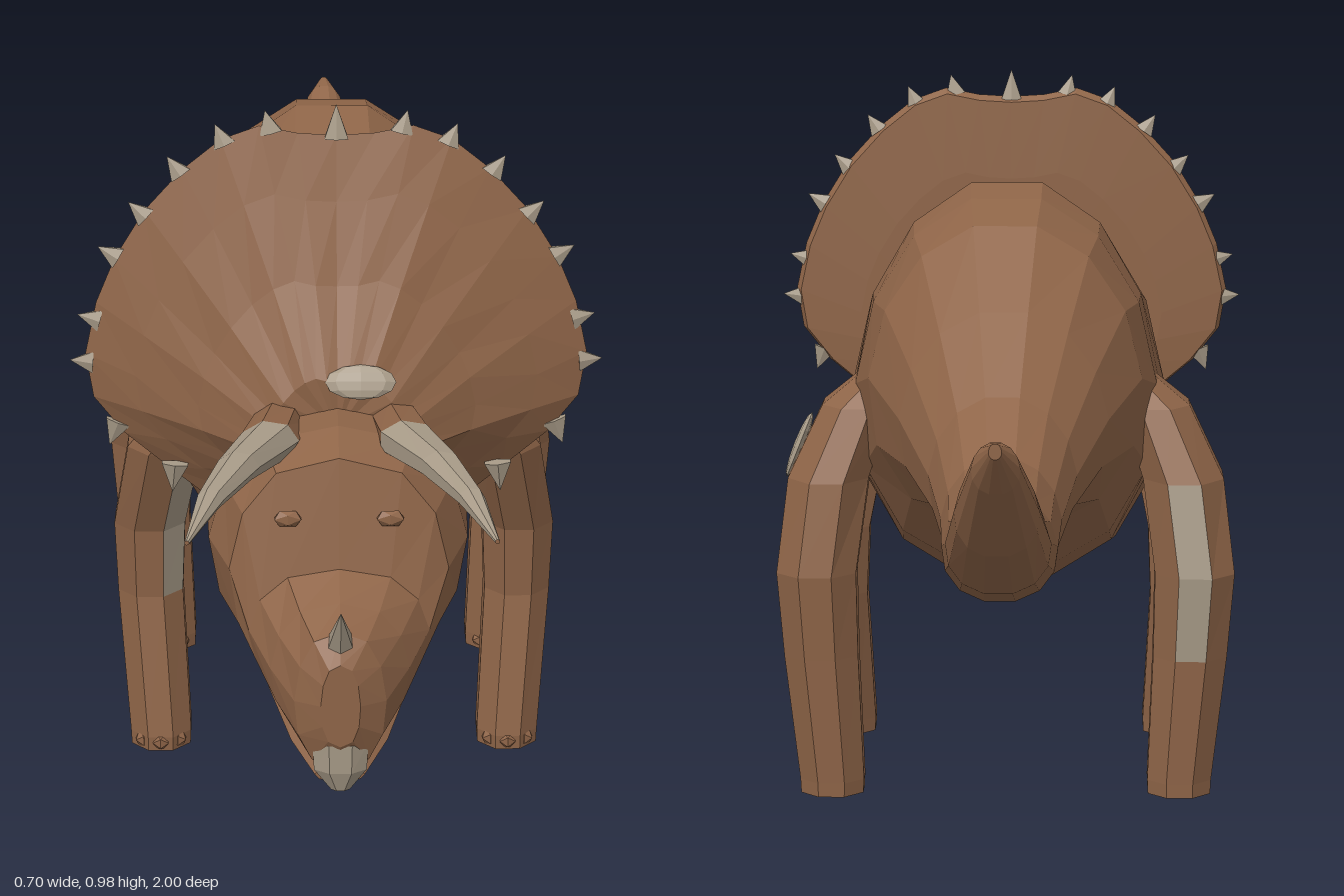
import * as THREE from 'three';

const skin = new THREE.MeshStandardMaterial({ color: 0x8f6548 });
skin.name = 'brown skin';
const bone = new THREE.MeshStandardMaterial({ color: 0xa89b88 });
bone.name = 'pale horn';

// Closed faceted surface through rings; paint(i, j) picks faces for the horn colour
function loft(rings, paint = () => false) {
  const faces = [[], []];
  const mid = r => r.reduce((s, p) => s.add(p), new THREE.Vector3()).divideScalar(r.length);
  const n = rings[0].length, last = rings[rings.length - 1];
  const c0 = mid(rings[0]), c1 = mid(last);
  for (let j = 0; j < n; j++) {
    const k = (j + 1) % n;
    faces[0].push(c0, rings[0][k], rings[0][j], c1, last[j], last[k]);
    for (let i = 0; i + 1 < rings.length; i++) {
      const a = rings[i][j], b = rings[i][k], c = rings[i + 1][k], d = rings[i + 1][j];
      faces[paint(i, j) ? 1 : 0].push(a, b, c, a, c, d);
    }
  }
  const g = new THREE.BufferGeometry().setFromPoints([...faces[0], ...faces[1]]);
  g.addGroup(0, faces[0].length, 0);
  if (faces[1].length) g.addGroup(faces[0].length, faces[1].length, 1);
  g.computeVertexNormals();
  return g;
}

// Upright ring at depth z; pear widens the lower half
function ringZ(z, top, bottom, half, n, pear = 0, power = 1, x = 0) {
  return Array.from({ length: n }, (_, j) => {
    const a = (j / n) * Math.PI * 2, c = Math.cos(a), s = Math.sin(a);
    const w = Math.sign(c) * Math.abs(c) ** power * (1 - pear * s);
    return new THREE.Vector3(x + half * w, (top + bottom) / 2 + s * (top - bottom) / 2, z);
  });
}

// Level eight-sided ring whose face j is centred on the angle 45 * j from +z towards +x
function ringY(y, x, z, rx, rz) {
  return Array.from({ length: 8 }, (_, j) => {
    const a = ((j - 0.5) / 8) * Math.PI * 2;
    return new THREE.Vector3(x + 1.06 * rx * Math.sin(a), y, z + 1.06 * rz * Math.cos(a));
  });
}

function flat(geometry) {
  const g = geometry.toNonIndexed();
  g.computeVertexNormals();
  return g;
}

export function createModel() {
  const model = new THREE.Group();
  model.name = 'hornedDinosaur';
  const add = (name, geometry, material) => {
    const m = new THREE.Mesh(geometry, material);
    m.name = name;
    model.add(m);
    return m;
  };
  const spike = (name, base, dir, radius, length, depth = 1) => {
    const d = new THREE.Vector3(...dir).normalize();
    const m = add(name, flat(new THREE.ConeGeometry(radius, length, 6)), bone);
    m.quaternion.setFromUnitVectors(new THREE.Vector3(0, 1, 0), d);
    m.position.set(...base).addScaledVector(d, length / 2);
    m.scale.z = depth;
  };

  // Torso, neck and tail: z, top, bottom, half width
  const body = [
    [-1, 0.65, 0.63, 0.008], [-0.96, 0.645, 0.58, 0.03], [-0.87, 0.6, 0.485, 0.053],
    [-0.76, 0.548, 0.415, 0.067], [-0.65, 0.53, 0.382, 0.075], [-0.52, 0.55, 0.385, 0.08],
    [-0.42, 0.615, 0.402, 0.1], [-0.31, 0.715, 0.415, 0.143], [-0.19, 0.82, 0.385, 0.19],
    [-0.09, 0.848, 0.31, 0.213], [0, 0.862, 0.275, 0.218], [0.17, 0.827, 0.248, 0.23],
    [0.28, 0.772, 0.25, 0.215], [0.38, 0.71, 0.27, 0.163], [0.46, 0.655, 0.28, 0.12],
    [0.57, 0.55, 0.3, 0.12],
  ];
  add('bodyAndTail', loft(body.map(([z, t, b, w]) => ringZ(z, t, b, w, 14, 0.08, 0.92))), skin);

  // Skull and upper jaw
  const head = [
    [0.475, 0.59, 0.33, 0.14], [0.56, 0.6, 0.31, 0.17], [0.66, 0.6, 0.3, 0.167],
    [0.73, 0.58, 0.285, 0.14], [0.755, 0.44, 0.275, 0.115], [0.81, 0.415, 0.24, 0.088],
    [0.86, 0.395, 0.212, 0.058], [0.883, 0.36, 0.25, 0.025],
  ];
  add('head', loft(head.map(([z, t, b, w]) => ringZ(z, t, b, w, 12, 0.05, 0.75))), skin);

  // Lower jaw
  const jaw = [
    [0.53, 0.4, 0.3, 0.11], [0.62, 0.38, 0.265, 0.115], [0.71, 0.3, 0.222, 0.09],
    [0.77, 0.235, 0.192, 0.062], [0.815, 0.195, 0.174, 0.032],
  ];
  add('lowerJaw', loft(jaw.map(([z, t, b, w]) => ringZ(z, t, b, w, 10, 0, 0.85))), skin);

  // Beak tip and nose horn
  add('beakTip', loft([ringY(0.185, 0, 0.86, 0.012, 0.01), ringY(0.212, 0, 0.853, 0.034, 0.026),
    ringY(0.25, 0, 0.855, 0.036, 0.026)]), bone);
  spike('noseHorn', [0, 0.375, 0.855], [0, 0.75, 0.55], 0.02, 0.075);

  // Frill outline, one half from bottom to top, then mirrored
  const half = [
    [0, 0.42], [0.09, 0.42], [0.17, 0.44], [0.22, 0.48], [0.28, 0.53], [0.32, 0.58],
    [0.33, 0.64], [0.315, 0.71], [0.29, 0.77], [0.25, 0.835], [0.2, 0.89],
    [0.15, 0.93], [0.1, 0.948], [0.05, 0.938], [0, 0.935],
  ];
  const outline = [...half, ...half.slice(1, -1).reverse().map(([x, y]) => [-x, y])];
  const frillRing = (t, z, fold) => outline.map(([x, y], j) =>
    new THREE.Vector3(x * t, 0.52 + (y - 0.52) * t, z + (j % 2) * fold));
  add('frill', loft([
    frillRing(0.3, 0.458, 0), frillRing(0.7, 0.458, 0), frillRing(0.98, 0.464, 0),
    frillRing(1, 0.475, 0), frillRing(0.8, 0.499, 0.002), frillRing(0.55, 0.534, 0.004),
    frillRing(0.28, 0.588, 0.003),
  ]), skin);

  // Small flattened spikes round the frill rim
  const rim = [[0.085, 0.938], [0.145, 0.922], [0.202, 0.882], [0.248, 0.825],
    [0.285, 0.77], [0.31, 0.685], [0.32, 0.628]];
  spike('frillSpike', [0, 0.93, 0.474], [0, 1, 0], 0.018, 0.046, 0.5);
  for (const s of [1, -1]) {
    for (const [x, y] of rim) {
      spike('frillSpike', [s * x, y, 0.474], [s * x, y - 0.6, 0], 0.017, 0.031, 0.5);
    }
    spike('frillSpike', [s * 0.288, 0.546, 0.476], [s * 0.3, -0.8, 0], 0.019, 0.035, 0.5);
    spike('cheekSpike', [s * 0.213, 0.495, 0.5], [s * 0.1, -1, 0], 0.02, 0.04, 0.6);

    // Long brow horn on a skin-covered base: z, x, y, x radius, y radius
    const horn = [[0.57, 0.075, 0.575, 0.035, 0.03], [0.685, 0.088, 0.588, 0.038, 0.028],
      [0.8, 0.127, 0.593, 0.027, 0.021], [0.9, 0.16, 0.586, 0.017, 0.014],
      [1, 0.187, 0.566, 0.003, 0.003]];
    add('browHorn', loft(horn.map(([z, x, y, rx, ry]) =>
      ringZ(z, y + ry, y - ry, rx, 7, 0, 1, s * x)), i => i > 0), [skin, bone]);

    // Heavy eyelid
    const eye = add('eyelid', flat(new THREE.IcosahedronGeometry(1, 0)), skin);
    eye.scale.set(0.02, 0.012, 0.008);
    eye.position.set(s * 0.065, 0.505, 0.746);

    // Legs: y, x, z, x radius, z radius
    const front = [[0, 0.243, 0.25, 0.042, 0.05], [0.02, 0.243, 0.25, 0.043, 0.051],
      [0.22, 0.256, 0.217, 0.046, 0.057], [0.32, 0.256, 0.22, 0.05, 0.063],
      [0.45, 0.232, 0.27, 0.052, 0.07], [0.51, 0.197, 0.298, 0.045, 0.063],
      [0.55, 0.15, 0.31, 0.025, 0.035]];
    const hind = [[0, 0.246, -0.125, 0.045, 0.05], [0.02, 0.246, -0.125, 0.046, 0.051],
      [0.2, 0.26, -0.128, 0.053, 0.06], [0.32, 0.266, -0.13, 0.057, 0.068],
      [0.45, 0.25, -0.088, 0.058, 0.09], [0.55, 0.21, -0.065, 0.05, 0.075],
      [0.61, 0.155, -0.055, 0.03, 0.04]];
    // Pale strips run down one face of each right leg
    const legs = [['frontLeg', front, (i, j) => j === 1 || (j === 2 && i === 3)],
      ['hindLeg', hind, (i, j) => j === 4]];
    for (const [name, rows, strip] of legs) {
      const rings = rows.map(([y, x, z, rx, rz]) => ringY(y, s * x, z, rx, rz));
      const bare = (i, j) => s < 0 && (i === 2 || i === 3) && strip(i, j);
      add(name, loft(rings, bare), [skin, bone]);
      for (const t of [-1, 0, 1]) {
        const toe = add('toe', flat(new THREE.IcosahedronGeometry(0.013, 0)), skin);
        toe.position.set(s * rows[0][1] + t * 0.024, 0.012, rows[0][2] + 0.044 - Math.abs(t) * 0.012);
      }
    }
  }

  // Pale bare patches on the frill base and left thigh
  const patch = flat(new THREE.SphereGeometry(1, 8, 6));
  const brow = add('frillPatch', patch, bone);
  brow.scale.set(0.046, 0.023, 0.008);
  brow.rotation.x = -0.45;
  brow.position.set(0.03, 0.636, 0.591);
  const thigh = add('thighPatch', patch, bone);
  thigh.scale.set(0.008, 0.05, 0.025);
  thigh.rotation.z = 0.38;
  thigh.position.set(0.294, 0.487, -0.062);

  return model;
}
